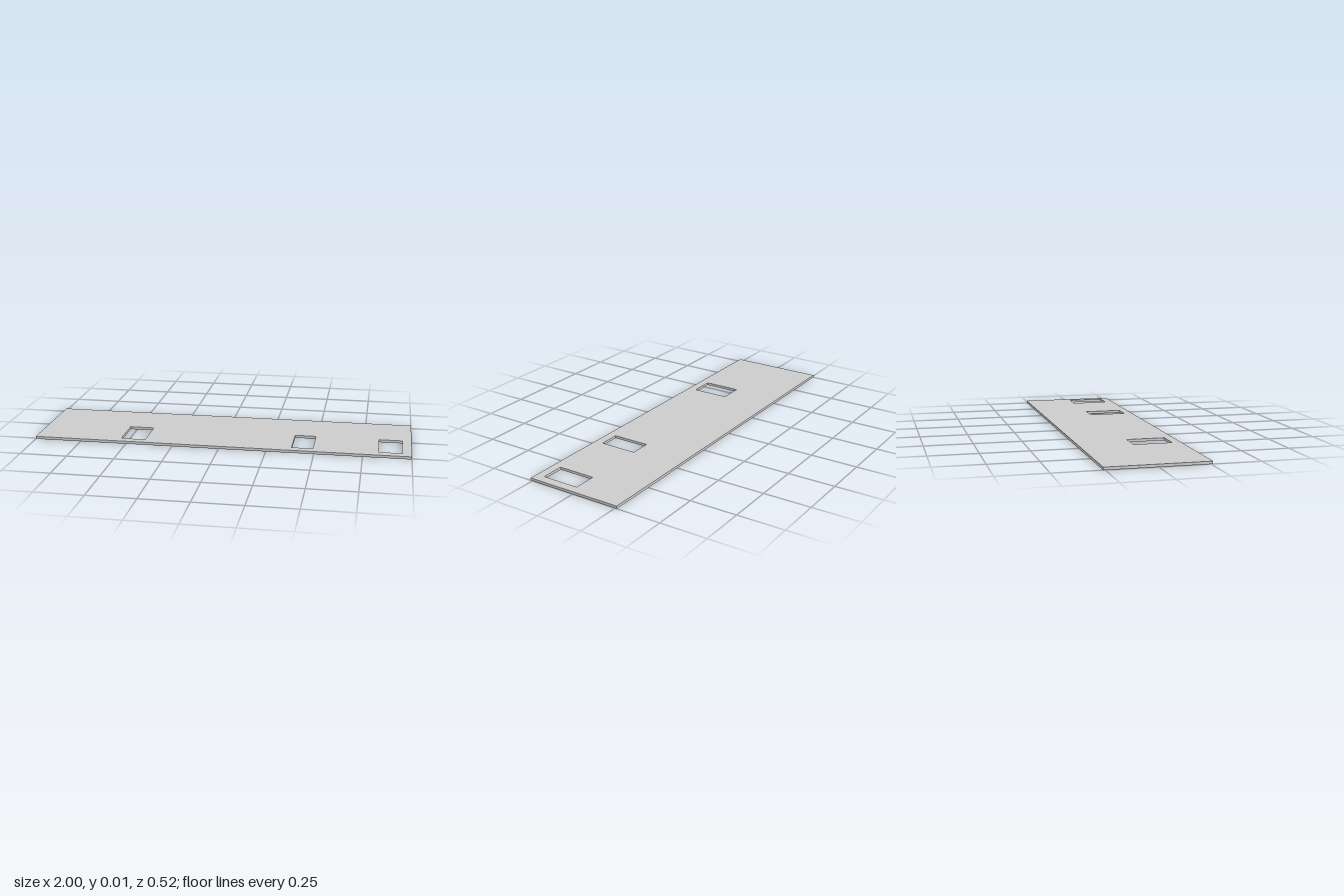
import * as THREE from 'three';

const THICKNESS = 0.014;

// Traces a rectangle given in plan (x, z); shape y is -z.
function rectangle(target, x0, x1, z0, z1) {
  target.moveTo(x0, -z1);
  target.lineTo(x1, -z1);
  target.lineTo(x1, -z0);
  target.lineTo(x0, -z0);
  target.closePath();
  return target;
}

export function createModel() {
  const group = new THREE.Group();
  group.name = 'slottedPlate';

  // Flat plate outline
  const outline = rectangle(new THREE.Shape(), -1, 1, -0.26, 0.26);

  // Three rectangular openings near the front edge
  const openings = [[-0.537, -0.405], [0.38, 0.492], [0.83, 0.953]];
  for (const [x0, x1] of openings) {
    outline.holes.push(rectangle(new THREE.Path(), x0, x1, 0.013, 0.214));
  }

  const geometry = new THREE.ExtrudeGeometry(outline, { depth: THICKNESS, bevelEnabled: false });
  geometry.rotateX(-Math.PI / 2);

  const plate = new THREE.Mesh(geometry, new THREE.MeshStandardMaterial({ color: 0xcccccc }));
  plate.name = 'plate';
  group.add(plate);
  return group;
}
